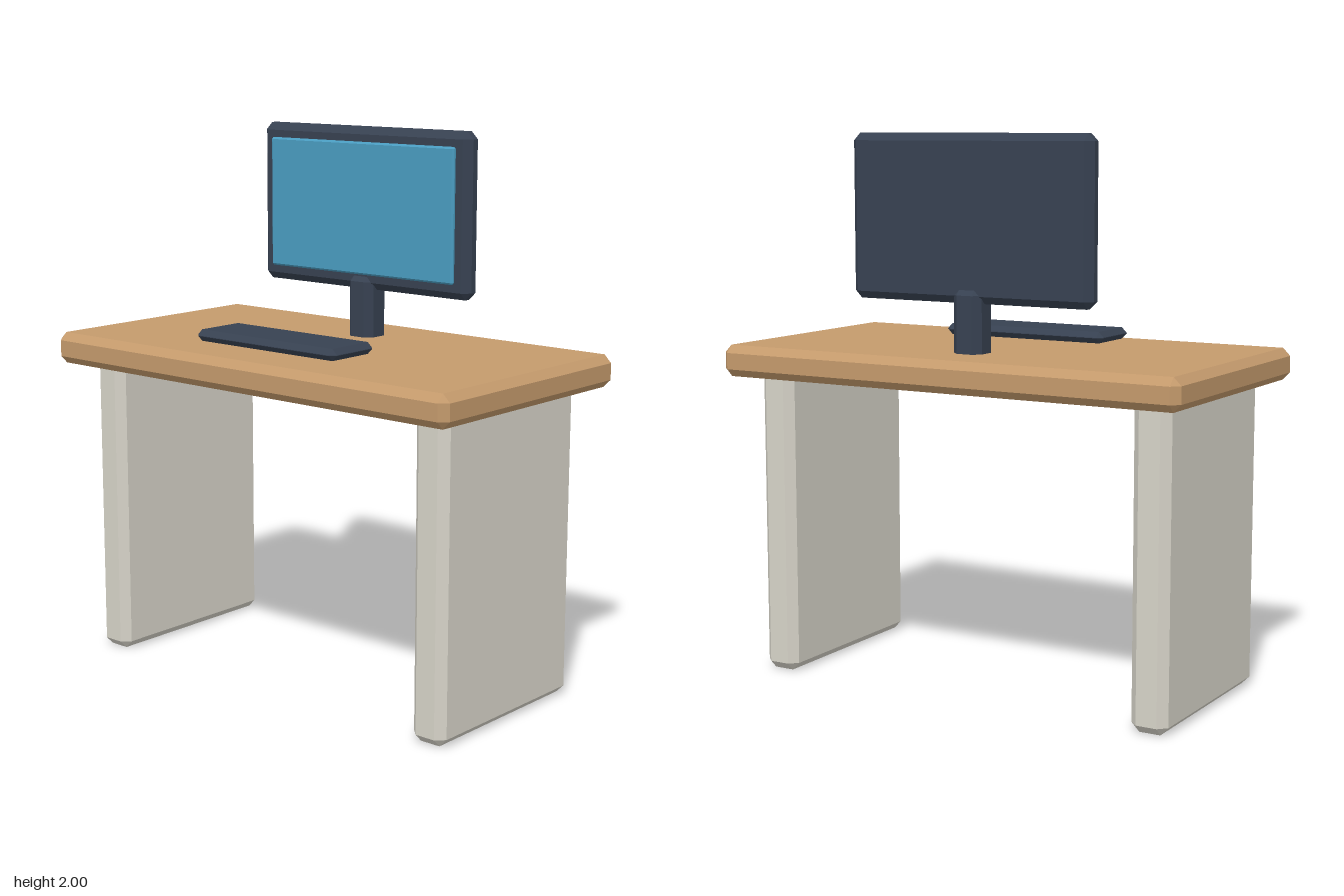
import * as THREE from 'three';
import { ConvexGeometry } from 'three/addons/geometries/ConvexGeometry.js';

const material = (color) => new THREE.MeshStandardMaterial({ color, flatShading: true });

// Box with every edge cut off by a flat bevel: on each corner, one point per adjoining face
function chamferBox(w, h, d, bevel) {
  const half = [w / 2, h / 2, d / 2];
  const points = [];
  for (const sx of [-1, 1]) for (const sy of [-1, 1]) for (const sz of [-1, 1]) {
    for (let face = 0; face < 3; face++) {
      const [x, y, z] = half.map((v, axis) => (axis === face ? v : v - bevel));
      points.push(new THREE.Vector3(sx * x, sy * y, sz * z));
    }
  }
  return new ConvexGeometry(points);
}

export function createModel() {
  const group = new THREE.Group();
  const wood = material(0xc49a6c);
  const panel = material(0xd6d3c8);
  const dark = material(0x374151);
  const glass = material(0x4a9cc0);

  // Adds a bevelled block by size, centre and bevel width
  const add = (name, mat, size, centre, bevel) => {
    const mesh = new THREE.Mesh(chamferBox(...size, bevel), mat);
    mesh.name = name;
    mesh.position.set(...centre);
    group.add(mesh);
  };

  // Desk: top on two panel legs that run up into it
  add('deskTop', wood, [1.835, 0.116, 0.98], [0, 1.175, 0], 0.028);
  for (const [name, side] of [['leftLeg', 1], ['rightLeg', -1]]) {
    add(name, panel, [0.138, 1.16, 0.75], [side * 0.764, 0.58, 0], 0.03);
  }

  // Monitor: stand, casing and a thin screen set on its front
  add('monitorStand', dark, [0.114, 0.264, 0.114], [0, 1.332, -0.23], 0.026);
  add('monitorCasing', dark, [0.975, 0.592, 0.078], [0, 1.704, -0.23], 0.027);
  add('monitorScreen', glass, [0.862, 0.483, 0.022], [0, 1.705, -0.188], 0.007);

  // Keyboard, hovering slightly over the desk
  add('keyboard', dark, [0.66, 0.042, 0.226], [0, 1.268, 0.23], 0.02);

  return group;
}
